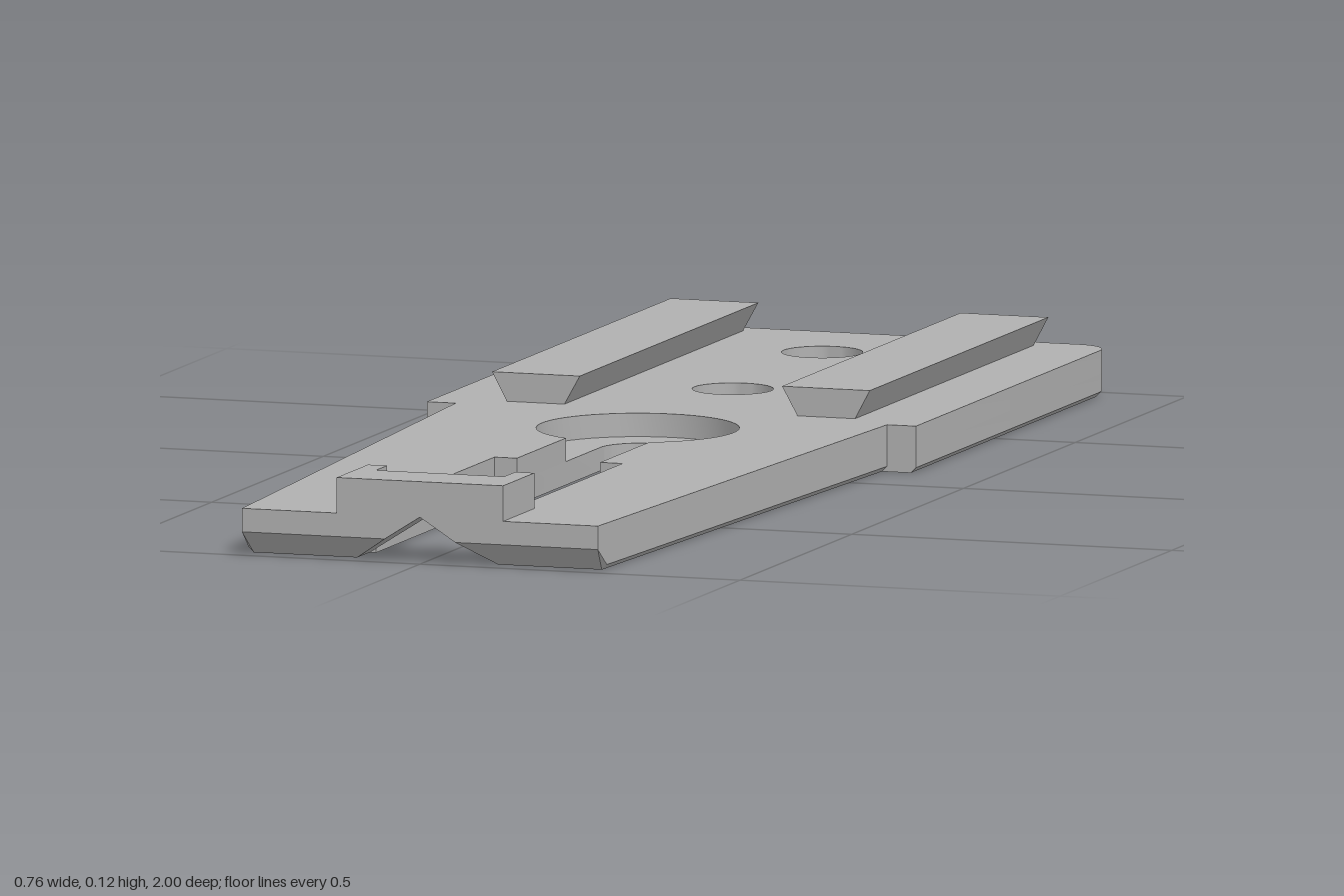
import * as THREE from 'three';
import { toCreasedNormals } from 'three/addons/utils/BufferGeometryUtils.js';

const TOP = 0.07, MID = 0.035, EDGE = 0.008; // plate top, pocket depth, bottom chamfer
const SLOT = 0.065, BAR_Z = 0.91;
const halfWidth = (z) => 0.337 - 0.059 * (z + 0.125) / 1.125; // tapered tongue

const arc = (cx, cz, r, t0, t1, n) => Array.from({ length: n + 1 }, (_, i) => {
  const t = t0 + (t1 - t0) * i / n;
  return new THREE.Vector2(cx + r * Math.cos(t), cz + r * Math.sin(t));
});
const pts = (...list) => list.map(([x, y]) => new THREE.Vector2(x, y));

// Plan outline, with the slot left open at the front; its back end is an arc of radius r
function planShape(r, cz) {
  const t0 = Math.acos(Math.min(1, SLOT / r));
  const w = halfWidth(BAR_Z);
  return new THREE.Shape([
    ...pts([0.1, BAR_Z], [w, BAR_Z], [0.337, -0.125], [0.382, -0.125]),
    ...arc(0.332, -0.95, 0.05, 0, -Math.PI / 2, 8),
    ...arc(-0.332, -0.95, 0.05, -Math.PI / 2, -Math.PI, 8),
    ...pts([-0.382, -0.125], [-0.337, -0.125], [-w, BAR_Z], [-0.1, BAR_Z], [-0.1, 0.38], [-SLOT, 0.38]),
    ...arc(0, cz, r, Math.PI - t0, 2 * Math.PI + t0, 40),
    ...pts([SLOT, 0.38], [0.1, 0.38]),
  ]);
}

// Horizontal layer from y0 to y1 with screw holes of the given radius and side count
function layer(shape, y0, y1, holeR, sides) {
  for (const z of [-0.8, -0.4]) {
    shape.holes.push(new THREE.Path(arc(0, z, holeR, 0, 2 * Math.PI, sides).slice(0, -1)));
  }
  const g = new THREE.ExtrudeGeometry(shape, { depth: y1 - y0, bevelEnabled: false });
  return g.rotateX(Math.PI / 2).translate(0, y1, 0);
}

// Moves each vertex by a rule
function reshape(g, rule) {
  const p = g.attributes.position, v = new THREE.Vector3();
  for (let i = 0; i < p.count; i++) {
    rule(v.fromBufferAttribute(p, i));
    p.setXYZ(i, v.x, v.y, v.z);
  }
  return g;
}

// Profile in x and y run along z
function run(points, z0, z1) {
  return new THREE.ExtrudeGeometry(new THREE.Shape(points), { depth: z1 - z0, bevelEnabled: false })
    .translate(0, 0, z0);
}

export function createModel() {
  const group = new THREE.Group();
  const grey = new THREE.MeshStandardMaterial({ color: 0xb0b0b0 });
  grey.name = 'plain grey';
  const add = (name, g) => {
    g = g.toNonIndexed ? (g.index ? g.toNonIndexed() : g) : g;
    g.computeVertexNormals();
    const mesh = new THREE.Mesh(toCreasedNormals(g, 0.5), grey);
    mesh.name = name;
    group.add(mesh);
  };

  // Plate: chamfered bottom, nut-pocket layer, top layer with the round recess
  const base = layer(planShape(SLOT, 0.005), 0, EDGE, 0.1, 6);
  add('plateBottom', reshape(base, (v) => {
    if (v.y > EDGE / 2) return;
    if (Math.abs(v.x) > 0.25) v.x -= Math.sign(v.x) * EDGE;
    v.z = Math.max(v.z, -1 + EDGE);
  }));
  add('plateLower', layer(planShape(SLOT, 0.005), EDGE, MID, 0.1, 6));
  add('plateUpper', layer(planShape(0.15, 0.025), MID, TOP, 0.06, 40));

  // Front bar halves: V notch beneath, front lower edge sloped
  const slopeZ = 0.965;
  for (const s of [1, -1]) {
    const profile = pts([0.11 * s, 0], [s * (0.3 - EDGE), 0], [0.3 * s, EDGE], [0.3 * s, TOP], [0, TOP]);
    for (const [z0, z1] of [[BAR_Z, slopeZ], [slopeZ, 1]]) {
      add('frontBar', reshape(run(profile, z0, z1), (v) => {
        if (Math.abs(v.x) > 0.2) v.x += s * (halfWidth(v.z) - 0.3);
        if (v.z > 0.99 && v.y < MID) {
          v.y = MID;
          v.x = Math.abs(v.x) < 0.2 ? 0.055 * s : s * halfWidth(1);
        }
      }));
    }

    // Dovetail rail
    add('dovetailRail', run(pts([0.182 * s, TOP], [0.272 * s, TOP], [0.295 * s, 0.113], [0.158 * s, 0.113]), -0.967, -0.168));
  }

  // Raised U-shaped stop at the front
  const stop = new THREE.Shape(pts([-0.13, 0.86], [-0.1, 0.86], [-0.1, BAR_Z], [0.1, BAR_Z],
    [0.1, 0.86], [0.13, 0.86], [0.13, 1], [-0.13, 1]));
  add('frontStop', new THREE.ExtrudeGeometry(stop, { depth: 0.123 - TOP, bevelEnabled: false })
    .rotateX(Math.PI / 2).translate(0, 0.123, 0));

  return group;
}
